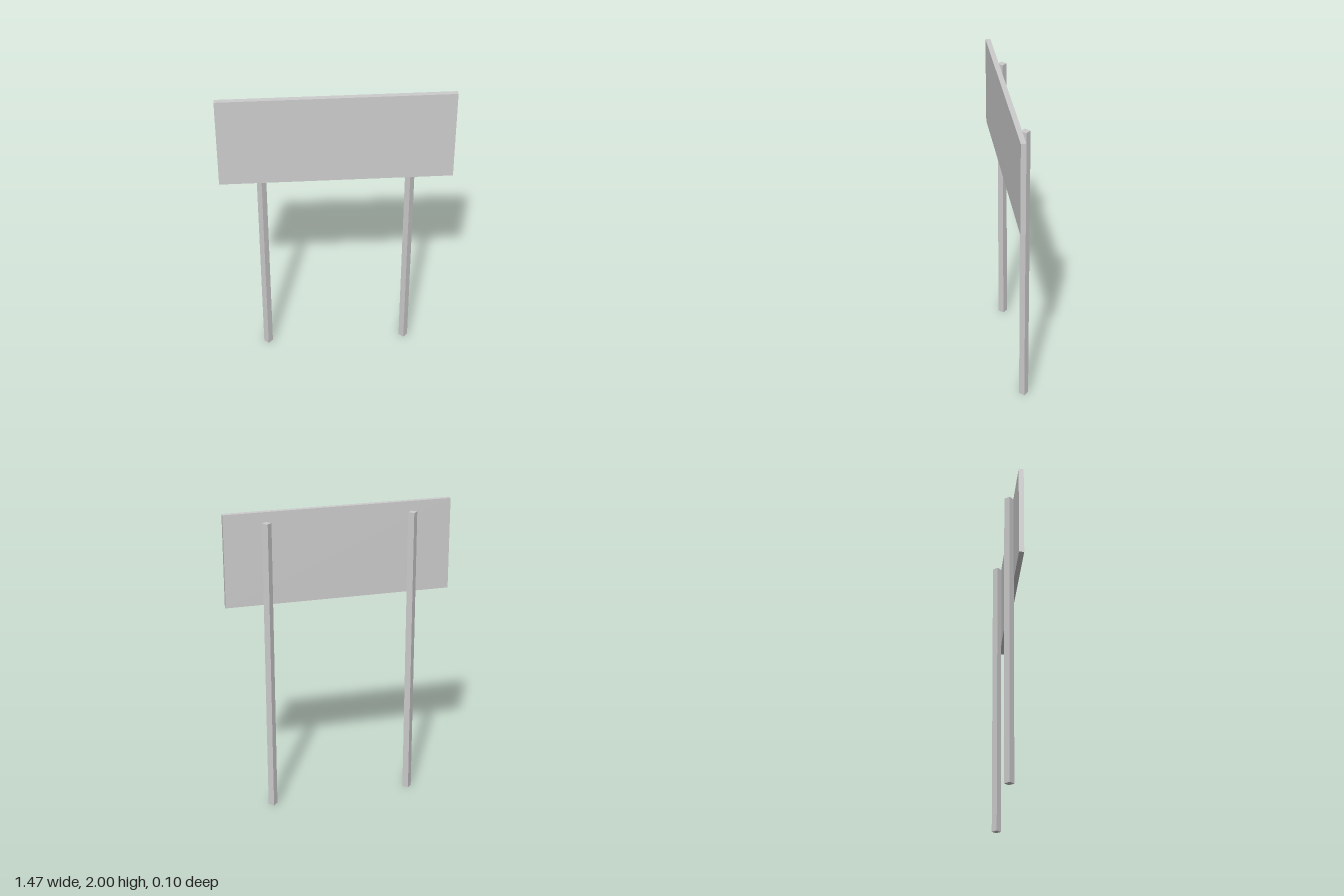
import * as THREE from 'three';

export function createModel() {
  const group = new THREE.Group();
  const material = new THREE.MeshStandardMaterial({ color: 0xcccccc, flatShading: true });

  // Flat sign board
  const board = new THREE.Mesh(new THREE.BoxGeometry(1.466, 0.6, 0.032), material);
  board.name = 'signBoard';
  board.position.set(0, 1.7, 0.034);
  group.add(board);

  // Square posts behind the board, turned 45 degrees
  const postHeight = 1.94;
  const postWidth = 0.06 / Math.SQRT2;
  const postGeometry = new THREE.BoxGeometry(postWidth, postHeight, postWidth);
  for (const [name, side] of [['leftPost', 1], ['rightPost', -1]]) {
    const post = new THREE.Mesh(postGeometry, material);
    post.name = name;
    post.position.set(side * 0.469, postHeight / 2, -0.02);
    post.rotation.y = Math.PI / 4;
    group.add(post);
  }

  return group;
}
